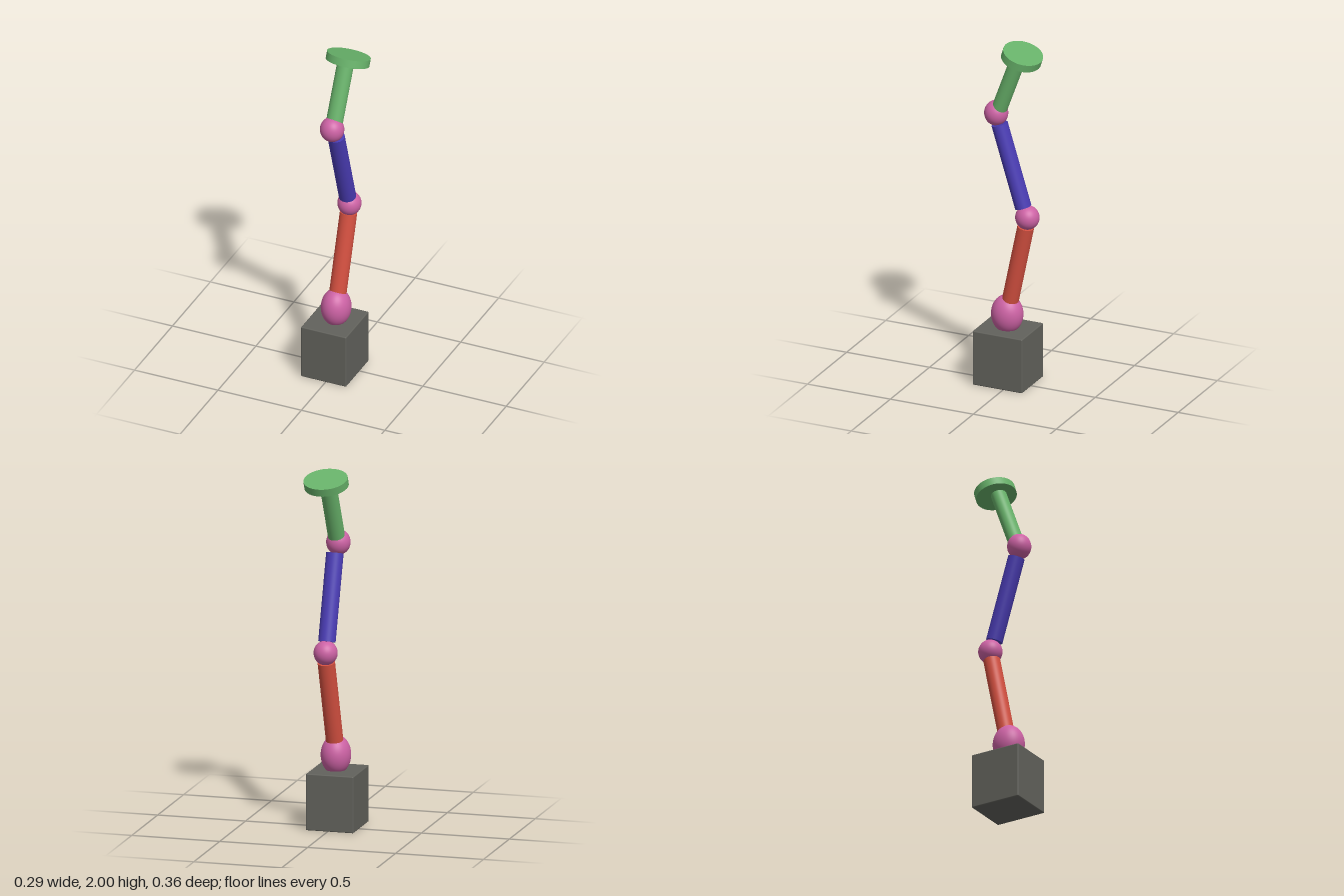
import * as THREE from 'three';
import { RoundedBoxGeometry } from 'three/addons/geometries/RoundedBoxGeometry.js';

const material = (name, color) => {
  const m = new THREE.MeshStandardMaterial({ color });
  m.name = name;
  return m;
};

export function createModel() {
  const arm = new THREE.Group();
  arm.name = 'jointedArm';

  const grey = material('baseGrey', 0x62625c);
  const pink = material('jointPink', 0xcc62a4);
  const red = material('lowerRed', 0xd45040);
  const blue = material('middleBlue', 0x4a3cb4);
  const green = material('upperGreen', 0x68b26a);

  const add = (name, geometry, mat) => {
    const mesh = new THREE.Mesh(geometry, mat);
    mesh.name = name;
    arm.add(mesh);
    return mesh;
  };

  // Ball joint with its own radius on each axis
  const joint = (name, centre, radii) => {
    const ball = add(name, new THREE.SphereGeometry(1, 48, 32), pink);
    ball.position.set(...centre);
    ball.scale.set(...radii);
  };

  // Slightly oval cylinder between two points
  const rod = (name, from, to, rx, rz, mat) => {
    const a = new THREE.Vector3(...from);
    const b = new THREE.Vector3(...to);
    const axis = b.clone().sub(a);
    const mesh = add(name, new THREE.CylinderGeometry(1, 1, axis.length(), 64), mat);
    mesh.scale.set(rx, 1, rz);
    mesh.position.copy(a).add(b).multiplyScalar(0.5);
    mesh.quaternion.setFromUnitVectors(new THREE.Vector3(0, 1, 0), axis.normalize());
  };

  // Base block with finely softened edges
  add('base', new RoundedBoxGeometry(0.271, 0.317, 0.3, 2, 0.006), grey)
    .position.set(-0.012, 0.1585, 0.033);

  // Joints
  joint('baseJoint', [-0.004, 0.4, 0.033], [0.083, 0.11, 0.09]);
  joint('middleJoint', [0.016, 0.998, -0.098], [0.066, 0.068, 0.067]);
  joint('upperJoint', [0.001, 1.577, 0.097], [0.067, 0.071, 0.066]);

  // Arm segments
  rod('lowerSegment', [-0.004, 0.44, 0.023], [0.015, 0.942, -0.088], 0.048, 0.046, red);
  rod('middleSegment', [0.016, 1.055, -0.073], [0.013, 1.52, 0.071], 0.048, 0.045, blue);
  rod('upperSegment', [0.004, 1.6, 0.079], [0.018, 1.935, -0.048], 0.047, 0.043, green);

  // Tilted end disc
  rod('endDisc', [0.021, 1.924, -0.062], [0.023, 1.966, -0.076], 0.123, 0.111, green);

  return arm;
}
